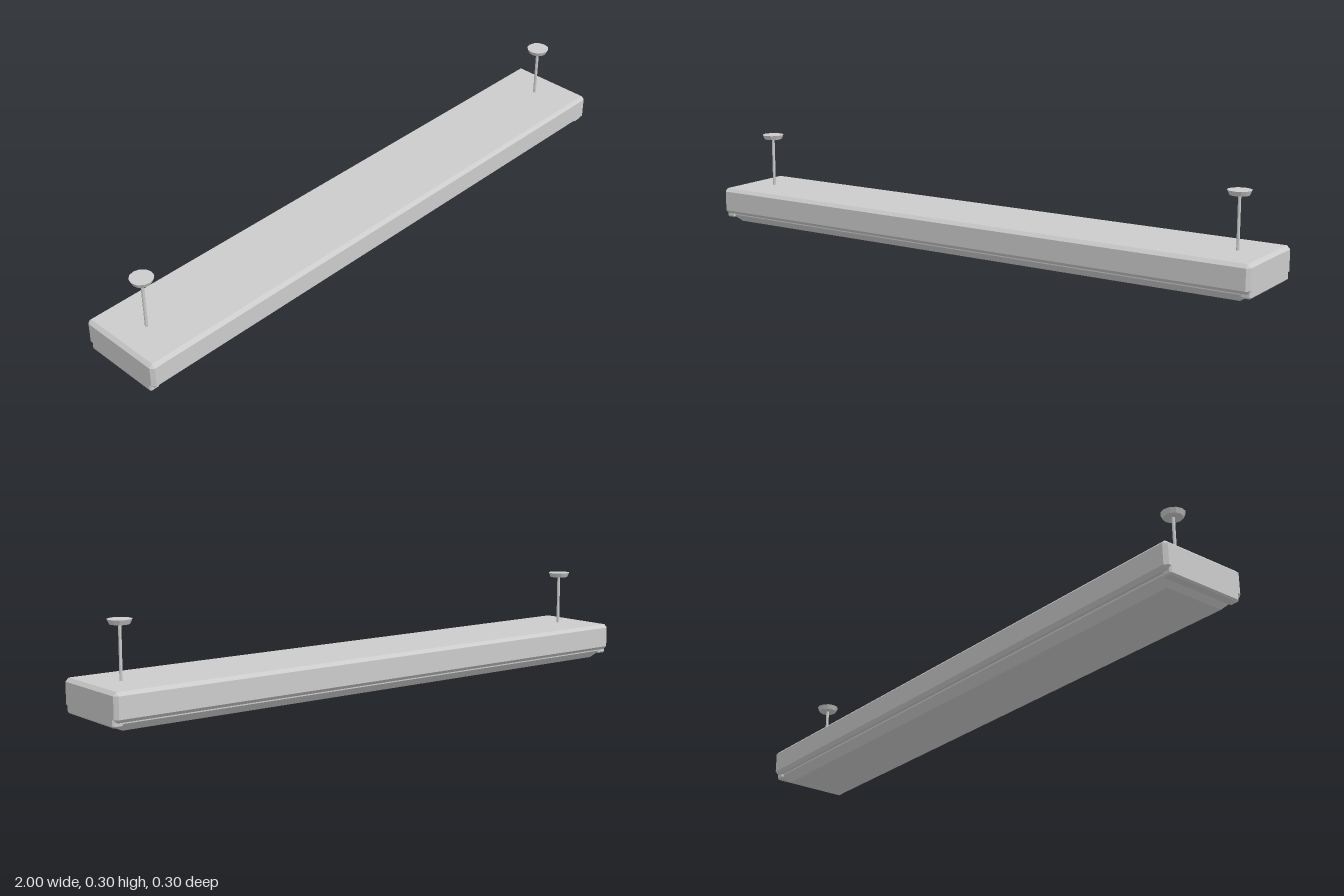
import * as THREE from 'three';
import { ConvexGeometry } from 'three/addons/geometries/ConvexGeometry.js';

const material = new THREE.MeshStandardMaterial({ color: 0xcccccc, flatShading: true });

// Box between two heights with all edges chamfered by c
function chamferBox(w, y0, y1, d, c) {
  const points = [];
  const half = [w / 2, (y1 - y0) / 2, d / 2];
  for (const sx of [-1, 1]) for (const sy of [-1, 1]) for (const sz of [-1, 1]) {
    // each corner splits into three points, one per face
    for (let face = 0; face < 3; face++) {
      const p = [sx, sy, sz].map((s, i) => s * (half[i] - (i === face ? 0 : c)));
      points.push(new THREE.Vector3(...p));
    }
  }
  return new ConvexGeometry(points).translate(0, (y0 + y1) / 2, 0);
}

// Tray with a narrower floor: straight rim above, sloping sides below
function tray(w, d, slope, yRim, yTop) {
  const points = [];
  for (const [y, inset] of [[0, slope], [yRim, 0], [yTop, 0]]) {
    for (const sx of [-1, 1]) for (const sz of [-1, 1]) {
      points.push(new THREE.Vector3(sx * (w / 2 - inset), y, sz * (d / 2 - inset)));
    }
  }
  return new ConvexGeometry(points);
}

export function createModel() {
  const group = new THREE.Group();
  const add = (name, geometry, x = 0, y = 0) => {
    const mesh = new THREE.Mesh(geometry, material);
    mesh.name = name;
    mesh.position.set(x, y, 0);
    group.add(mesh);
  };

  // Lamp housing and the diffuser under it
  add('housing', chamferBox(2, 0.031, 0.12, 0.3, 0.011));
  add('diffuser', tray(1.96, 0.26, 0.025, 0.025, 0.05));

  for (const [side, s] of [['left', 1], ['right', -1]]) {
    // End cap holding the diffuser
    add(side + 'EndCap', chamferBox(0.034, 0.016, 0.1, 0.27, 0.005), s * 0.983);
    // Suspension rod and ceiling mount
    add(side + 'Rod', new THREE.CylinderGeometry(0.005, 0.005, 0.175, 8), s * 0.895, 0.2025);
    add(side + 'CeilingMount', new THREE.CylinderGeometry(0.037, 0.03, 0.015, 12), s * 0.895, 0.2925);
  }
  return group;
}
